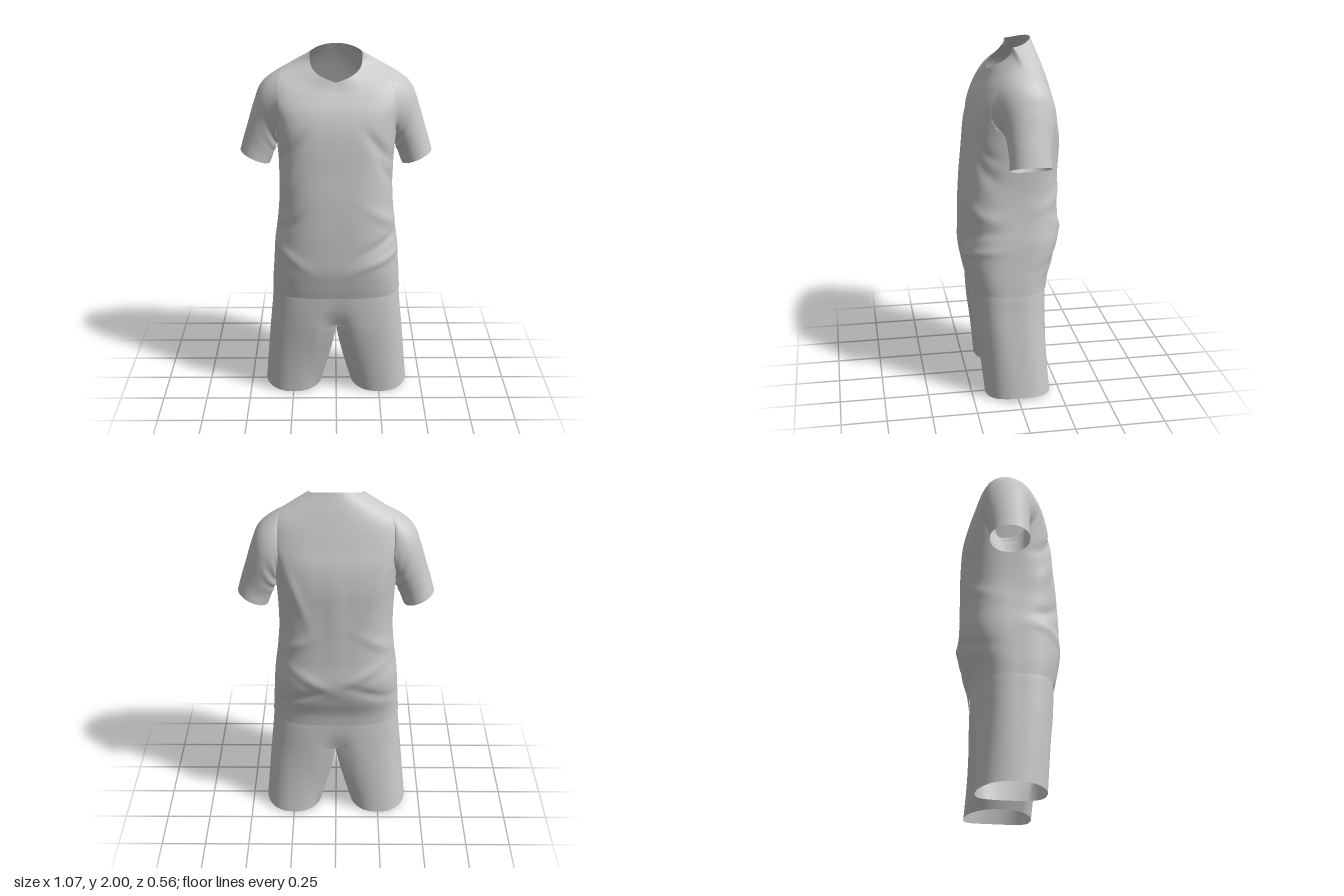
import * as THREE from 'three';
import { mergeGeometries, mergeVertices } from 'three/addons/utils/BufferGeometryUtils.js';

const cloth = new THREE.MeshStandardMaterial({ color: 0xc8c8c8, side: THREE.DoubleSide });
cloth.name = 'greyCloth';

const mix = (a, b, t) => a + (b - a) * t;
const pw = (v, e) => Math.sign(v) * Math.pow(Math.abs(v), e);

// Smoothly interpolated row of a table, t from 0 to 1
function sample(rows, t) {
  const f = t * (rows.length - 1), i = Math.min(Math.floor(f), rows.length - 2), u = f - i;
  const at = (k) => rows[Math.max(0, Math.min(rows.length - 1, k))];
  return at(i).map((b, k) => {
    const a = at(i - 1)[k], c = at(i + 1)[k], d = at(i + 2)[k];
    return b + 0.5 * u * (c - a + u * (2 * a - 5 * b + 4 * c - d + u * (3 * (b - c) + d - a)));
  });
}

// Sheet of quads from a rule fn(u, v) => [x, y, z]; side -1 mirrors it in x; hole(u, v) cuts openings
function sheet(nu, nv, fn, { side = 1, flip = false, hole = () => false } = {}) {
  const pos = [], idx = [];
  for (let i = 0; i <= nu; i++) for (let j = 0; j <= nv; j++) {
    const p = fn(i / nu, j / nv);
    pos.push(p[0] * side, p[1], p[2]);
  }
  for (let i = 0; i < nu; i++) for (let j = 0; j < nv; j++) {
    const corners = [[i, j], [i, j + 1], [i + 1, j], [i + 1, j + 1]];
    if (corners.every(([m, n]) => hole(m / nu, n / nv))) continue;
    const [a, b, c, d] = corners.map(([m, n]) => m * (nv + 1) + n);
    if (flip !== (side < 0)) idx.push(a, d, b, a, c, d);
    else idx.push(a, b, d, a, d, c);
  }
  const g = new THREE.BufferGeometry();
  g.setAttribute('position', new THREE.Float32BufferAttribute(pos, 3));
  g.setIndex(idx);
  return g;
}

function clothMesh(name, sheets) {
  const g = mergeVertices(mergeGeometries(sheets), 1e-4);
  g.computeVertexNormals();
  const m = new THREE.Mesh(g, cloth);
  m.name = name;
  return m;
}

// Shirt body rings: half width, side y, side z, front y, front z, back y, back z, roundness
const BODY = [
  [0.363, 0.625, 0.02, 0.625, 0.245, 0.62, -0.2, 0.66],
  [0.36, 0.7, 0.02, 0.7, 0.262, 0.7, -0.212, 0.66],
  [0.353, 0.8, 0.01, 0.8, 0.279, 0.8, -0.245, 0.66],
  [0.345, 0.92, 0, 0.92, 0.28, 0.92, -0.27, 0.66],
  [0.328, 1.05, 0, 1.05, 0.278, 1.05, -0.264, 0.66],
  [0.316, 1.2, 0, 1.2, 0.27, 1.2, -0.26, 0.65],
  [0.318, 1.36, -0.01, 1.36, 0.254, 1.36, -0.26, 0.64],
  [0.328, 1.51, -0.02, 1.5, 0.24, 1.5, -0.26, 0.63],
  [0.345, 1.64, -0.03, 1.6, 0.222, 1.62, -0.245, 0.63],
  [0.365, 1.75, -0.035, 1.68, 0.195, 1.72, -0.215, 0.66],
  [0.335, 1.85, -0.04, 1.745, 0.16, 1.82, -0.185, 0.72],
  [0.24, 1.915, -0.03, 1.79, 0.132, 1.92, -0.152, 0.85],
  [0.143, 1.968, -0.005, 1.83, 0.115, 2.0, -0.12, 1],
];

// Cloth folds: x, y, front or back, angle, length, width, height
const FOLDS = [
  [0.27, 0.86, 1, 0.35, 0.14, 0.025, 0.011], [0.25, 0.95, 1, 0.5, 0.13, 0.028, -0.011],
  [0.29, 1.08, 1, -0.6, 0.12, 0.03, 0.012], [0.3, 1.3, 1, -1.1, 0.16, 0.025, -0.014],
  [-0.29, 0.9, 1, -0.6, 0.13, 0.028, 0.011], [-0.3, 1.02, 1, 0.7, 0.12, 0.025, -0.014],
  [-0.29, 1.25, 1, 1.1, 0.15, 0.028, 0.01], [-0.25, 1.47, 1, 0.9, 0.12, 0.025, -0.014],
  [0.25, 1.47, 1, -0.9, 0.12, 0.025, -0.014], [0.14, 0.95, -1, 0.55, 0.15, 0.03, 0.009],
  [-0.15, 0.98, -1, -0.5, 0.15, 0.03, 0.009], [0.2, 0.82, -1, -0.4, 0.14, 0.03, -0.01],
  [-0.2, 0.85, -1, 0.4, 0.14, 0.03, -0.01], [0.24, 1.15, -1, -0.5, 0.14, 0.03, 0.009],
  [-0.25, 1.15, -1, 0.6, 0.14, 0.03, 0.009], [0.22, 1.48, -1, 1.2, 0.18, 0.03, 0.01],
  [-0.22, 1.48, -1, -1.2, 0.18, 0.03, 0.01], [0, 1.35, -1, 1.57, 0.3, 0.04, 0.008],
];

function bodyPoint(u, v) {
  const [w, yS, zS, yF, zF, yB, zB, e] = sample(BODY, u);
  const a = v * Math.PI * 2, s = Math.sin(a), c = Math.cos(a), front = c > 0;
  // the collar dips to a shallow V in front
  const vee = Math.sqrt(1 - Math.acos(Math.min(1, Math.abs(c))) / (Math.PI / 2));
  const k = mix(Math.pow(Math.abs(c), 1.5), vee, front ? Math.max(0, (e - 0.7) / 0.3) : 0);
  const x = w * pw(s, e), y = mix(yS, front ? yF : yB, k);
  const z = zS + Math.pow(Math.abs(c), e) * ((front ? zF : zB) - zS);
  let push = 0;
  for (const [fx, fy, face, ang, len, wid, h] of FOLDS) {
    if (face * c < 0) continue;
    const dx = x - fx, dy = y - fy;
    const along = dx * Math.cos(ang) + dy * Math.sin(ang), across = dy * Math.cos(ang) - dx * Math.sin(ang);
    push += h * Math.exp(-((along / len) ** 2) - (across / wid) ** 2) * Math.min(1, Math.abs(c) * 3);
  }
  return [x + push * s * 0.6, y, z + push * c];
}

// Armhole: an oval on the body sheet, in its own u and v
const ARM = { u: 8.85 / 12, ru: 1.65 / 12, v: 0.25, rv: 0.11 };
const inArmhole = (u, v) =>
  Math.hypot((u - ARM.u) / ARM.ru, (Math.min(v, 1 - v) - ARM.v) / ARM.rv) < 0.99;

// Sleeve rings: outer x, outer y, inner x, inner y, half depth, centre z
const SLEEVE = [
  [0.29, 1.885, 0.325, 1.54, 0.165, -0.035],
  [0.35, 1.852, 0.315, 1.515, 0.155, -0.043],
  [0.412, 1.798, 0.315, 1.485, 0.142, -0.05],
  [0.455, 1.69, 0.328, 1.45, 0.128, -0.055],
  [0.488, 1.58, 0.345, 1.41, 0.117, -0.052],
  [0.513, 1.5, 0.358, 1.375, 0.111, -0.05],
  [0.535, 1.42, 0.37, 1.345, 0.112, -0.05],
];

// Sleeve grows out of the armhole edge into its own rings
function sleevePoint(u, v, side) {
  const [ox, oy, ix, iy, d, zc] = sample(SLEEVE, u);
  const b = v * Math.PI * 2, c = Math.cos(b), s = Math.sin(b);
  // puckers near the armpit
  const r = 1 + 0.03 * Math.sin(u * 34 + 2 * s) * Math.max(0, 0.3 - c) * Math.sin(Math.PI * Math.min(1, u * 1.4));
  const ring = [(ox + ix) / 2 + (ox - ix) / 2 * c * r, (oy + iy) / 2 + (oy - iy) / 2 * c * r, zc + d * pw(s, 0.9) * r];
  const hv = ARM.v - ARM.rv * s;
  const edge = bodyPoint(ARM.u + ARM.ru * c, side > 0 ? hv : 1 - hv);
  const t = THREE.MathUtils.smoothstep(u, 0, 0.4);
  return [mix(edge[0] * side, ring[0], t), mix(edge[1], ring[1], t), mix(edge[2], ring[2], t)];
}

// Shorts hip rings, from the hidden waist to the crotch: half width, y, front z, back z, groove
const HIPS = [
  [0.345, 0.7, 0.238, -0.19, 0],
  [0.36, 0.62, 0.239, -0.193, 0.01],
  [0.368, 0.53, 0.236, -0.195, 0.05],
  [0.377, 0.44, 0.23, -0.195, 0.16],
];

function hipPoint(u, v) {
  const [w, y, zF, zB, g] = sample(HIPS, u);
  const a = v * Math.PI, s = Math.sin(a), c = Math.cos(a), zc = 0.02;
  const x = v === 0 || v === 1 ? 0 : w * pw(s, 0.66);
  const z = zc + Math.pow(Math.abs(c), 0.66) * ((c > 0 ? zF : zB) - zc);
  return [x, y, z * (1 - g * Math.exp(-((x / 0.07) ** 2)))];
}

// Leg: blends from the hip half ring, closed by a crotch saddle, to an oval cuff
function legPoint(t, v) {
  const outer = 0.75;
  let top, phi;
  if (v <= outer) {
    top = hipPoint(1, v / outer);
    phi = -55 + 290 * v / outer;
  } else {
    const q = (v - outer) / (1 - outer);
    top = [0, 0.44 - 0.035 * Math.sin(Math.PI * q), mix(hipPoint(1, 1)[2], hipPoint(1, 0)[2], q)];
    phi = 235 + 70 * q;
  }
  const p = phi * Math.PI / 180, s = Math.sin(p), c = Math.cos(p);
  const cuff = [0.25 + 0.165 * pw(s, 0.85), 0.01 + 0.01 * s * s * (s > 0 ? 1 : 0.5) - 0.01 * c * c, -0.014 + 0.186 * pw(c, 0.85)];
  const spread = Math.pow(t, mix(0.95, 1.35, Math.max(0, -s)));
  return [mix(top[0], cuff[0], spread), mix(top[1], cuff[1], t), mix(top[2], cuff[2], Math.pow(t, 1.15))];
}

export function createModel() {
  const model = new THREE.Group();
  model.name = 'shirtAndShorts';

  const shirt = new THREE.Group();
  shirt.name = 'shirt';
  shirt.add(clothMesh('shirtBody', [sheet(132, 160, bodyPoint, { hole: inArmhole })]));
  for (const side of [1, -1]) {
    const rule = (u, v) => sleevePoint(u, v, side);
    shirt.add(clothMesh(side > 0 ? 'leftSleeve' : 'rightSleeve', [sheet(40, 64, rule, { side })]));
  }

  const parts = [];
  for (const side of [1, -1]) {
    parts.push(sheet(24, 60, hipPoint, { side, flip: true }), sheet(30, 80, legPoint, { side, flip: true }));
  }
  model.add(shirt, clothMesh('shorts', parts));
  return model;
}
